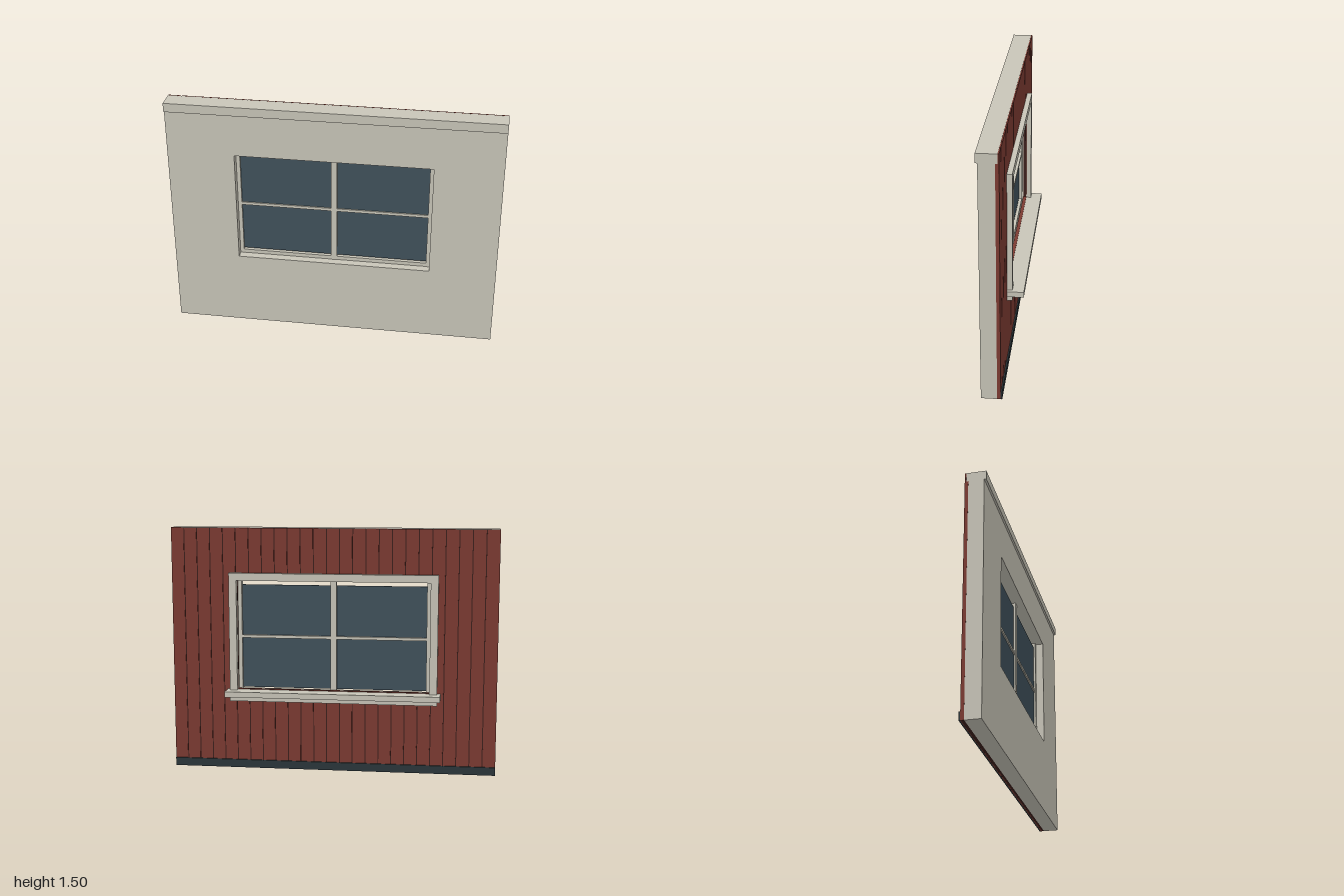
import * as THREE from 'three';

const mat = (color) => new THREE.MeshStandardMaterial({ color });

export function createModel() {
  const model = new THREE.Group();
  const cream = mat(0xc8c5b8), red = mat(0x7c3b32), groove = mat(0x3c201c);
  const glass = mat(0x40515b), dark = mat(0x2b363a);

  // Box given by its extents on each axis
  function box(name, material, x0, x1, y0, y1, z0, z1, parent = model) {
    const m = new THREE.Mesh(new THREE.BoxGeometry(x1 - x0, y1 - y0, z1 - z0), material);
    m.position.set((x0 + x1) / 2, (y0 + y1) / 2, (z0 + z1) / 2);
    m.name = name;
    parent.add(m);
    return m;
  }

  // Upright panel with a rectangular window opening
  function panel(name, material, halfW, top, hole, z0, z1) {
    const [hx, hy0, hy1] = hole;
    const s = new THREE.Shape([[-halfW, 0], [halfW, 0], [halfW, top], [-halfW, top]]
      .map(p => new THREE.Vector2(...p)));
    s.holes.push(new THREE.Path([[-hx, hy0], [-hx, hy1], [hx, hy1], [hx, hy0]]
      .map(p => new THREE.Vector2(...p))));
    const g = new THREE.ExtrudeGeometry(s, { depth: z1 - z0, bevelEnabled: false });
    g.translate(0, 0, z0);
    const m = new THREE.Mesh(g, material);
    m.name = name;
    model.add(m);
  }

  const W = 0.593, Y0 = 0.475, Y1 = 1.18;

  // Wall core and top beam
  panel('wall', cream, 1, 1.445, [W, Y0, Y1], 0.008, 0.1);
  box('topBeam', cream, -1, 1, 1.445, 1.5, -0.004, 0.112);

  // Cladding: dark grooved backing with vertical planks
  panel('claddingBacking', groove, 0.999, 1.499, [W, 0.503, Y1], -0.009, 0.0085);
  const cladding = new THREE.Group();
  cladding.name = 'cladding';
  model.add(cladding);
  const count = 25, pitch = 2 / count, gap = 0.003;
  for (let i = 0; i < count; i++) {
    const x0 = -1 + i * pitch + (i ? gap : 0), x1 = -1 + (i + 1) * pitch - (i < count - 1 ? gap : 0);
    const spans = Math.abs((x0 + x1) / 2) < 0.6 ? [[0, 0.46], [Y1 + 0.002, 1.5]] : [[0, 1.5]];
    for (const [a, b] of spans) box('plank', red, x0, x1, a, b, -0.0125, -0.0045, cladding);
  }
  // Red edges of the cladding at the wall ends
  for (const s of [-1, 1]) box('claddingEdge', red, s - 0.0005, s + 0.0005, 0, 1.445, -0.0125, 0.008);
  // Red edges of the cladding above and below the opening
  box('claddingHeadEdge', red, -W, W, Y1 - 0.001, Y1 + 0.002, -0.0125, 0.008);
  box('claddingSillEdge', red, -W, W, 0.498, 0.504, -0.0125, 0.008);

  // Base strip
  box('baseStrip', dark, -1, 1, 0, 0.05, -0.021, -0.012);

  // Window frame, bars and pane
  const frame = new THREE.Group();
  frame.name = 'windowFrame';
  model.add(frame);
  for (const s of [-1, 1]) {
    const c = s * (W - 0.0115);
    box('frameSide', cream, c - 0.0115, c + 0.0115, Y0, Y1, 0.015, 0.052, frame);
  }
  box('frameBottom', cream, -W, W, Y0, 0.499, 0.016, 0.05, frame);
  box('mullion', cream, -0.018, 0.018, Y0, Y1, 0.012, 0.052, frame);
  box('crossBar', cream, -0.57, 0.57, 0.82, 0.838, 0.016, 0.048, frame);
  box('pane', glass, -0.57, 0.57, 0.507, 1.15, 0.034, 0.04, frame);

  // Outer trim and sill
  const trim = new THREE.Group();
  trim.name = 'outerTrim';
  model.add(trim);
  for (const s of [-1, 1]) {
    const c = s * 0.6165;
    box('trimSide', cream, c - 0.0235, c + 0.0235, 0.5, Y1, -0.043, -0.012, trim);
  }
  box('trimTop', cream, -0.64, 0.64, Y1, 1.226, -0.043, -0.012, trim);
  box('sill', cream, -0.66, 0.66, 0.466, 0.5, -0.11, -0.01, trim);
  box('trimBottom', cream, -0.64, 0.64, 0.43, 0.466, -0.043, -0.012, trim);

  return model;
}
